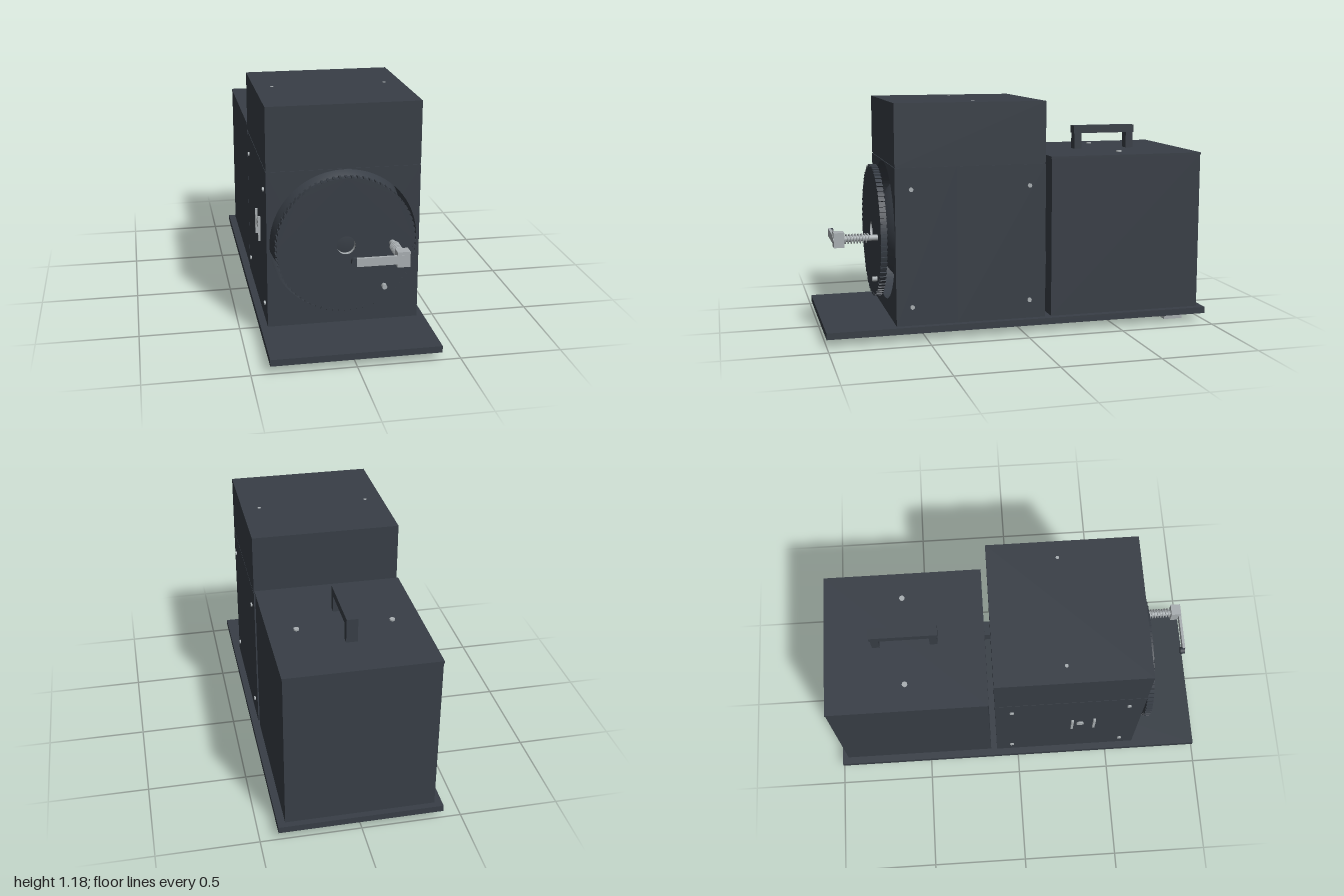
import * as THREE from 'three';

export function createModel() {
  const model = new THREE.Group();
  const dark = new THREE.MeshStandardMaterial({ color: 0x383e46 });
  dark.name = 'charcoal paint';
  const metal = new THREE.MeshStandardMaterial({ color: 0xa9afb2 });
  metal.name = 'light metal';
  const metalInside = new THREE.MeshStandardMaterial({ color: 0xa9afb2, side: THREE.BackSide });
  metalInside.name = 'light metal bore';

  const add = (name, geo, mat, x = 0, y = 0, z = 0, parent = model) => {
    const m = new THREE.Mesh(geo, mat);
    m.name = name;
    m.position.set(x, y, z);
    parent.add(m);
    return m;
  };
  // box given by its limits on each axis
  const block = (name, mat, x0, x1, y0, y1, z0, z1) =>
    add(name, new THREE.BoxGeometry(x1 - x0, y1 - y0, z1 - z0), mat,
      (x0 + x1) / 2, (y0 + y1) / 2, (z0 + z1) / 2);
  // cylinder along an axis, centred on the given point
  const rod = (name, mat, axis, r, len, x, y, z, sides = 24) => {
    const g = new THREE.CylinderGeometry(r, r, len, sides);
    if (axis === 'z') g.rotateX(Math.PI / 2);
    if (axis === 'x') g.rotateZ(Math.PI / 2);
    return add(name, g, mat, x, y, z);
  };
  const circlePath = (r, x = 0, y = 0) => new THREE.Path().absarc(x, y, r, 0, Math.PI * 2, true);

  const W = 0.375, CY = 0.498;

  // base plate and feet
  block('basePlate', dark, -0.41, 0.41, 0.038, 0.071, -1, 1);
  for (const s of [-1, 1]) block('rearFoot', metal, s * 0.305 - 0.034, s * 0.305 + 0.034, 0, 0.038, -0.9, -0.8);
  rod('frontFoot', metal, 'y', 0.017, 0.038, 0, 0.019, 0.885);

  // front housing: solid back, round opening in the front part
  block('frontHousingBack', dark, -W, W, 0.071, 0.862, -0.12, 0.34);
  const face = new THREE.Shape();
  face.moveTo(-W, 0.071).lineTo(W, 0.071).lineTo(W, 0.862).lineTo(-W, 0.862).closePath();
  face.holes.push(circlePath(0.361, 0, CY));
  add('frontHousingFace', new THREE.ExtrudeGeometry(face, { depth: 0.31, bevelEnabled: false, curveSegments: 48 }),
    dark, 0, 0, 0.34);
  block('housingSeam', dark, -W + 0.004, W - 0.004, 0.862, 0.867, -0.116, 0.646);
  block('upperHousing', dark, -W, W, 0.867, 1.177, -0.12, 0.65);

  // domed reflector filling the opening
  const dome = new THREE.SphereGeometry(0.357, 48, 16, 0, Math.PI * 2, 0, Math.PI / 2);
  dome.rotateX(Math.PI / 2);
  add('dome', dome, dark, 0, CY, 0.338);

  // toothed dial with a bored hub
  const dial = new THREE.Group();
  dial.name = 'dial';
  dial.position.set(0, CY, 0);
  model.add(dial);
  const disc = new THREE.Shape().absarc(0, 0, 0.337, 0, Math.PI * 2, false);
  disc.holes.push(circlePath(0.046));
  add('dialDisc', new THREE.ExtrudeGeometry(disc, { depth: 0.031, bevelEnabled: false, curveSegments: 64 }),
    dark, 0, 0, 0.685, dial);
  const bore = new THREE.CylinderGeometry(0.0455, 0.0455, 0.03, 32, 1, true);
  bore.rotateX(Math.PI / 2);
  add('hubBore', bore, metalInside, 0, 0, 0.7, dial);
  const tooth = new THREE.BoxGeometry(0.012, 0.015, 0.033);
  for (let i = 0; i < 72; i++) {
    const a = i / 72 * Math.PI * 2;
    add('dialTooth', tooth, dark, Math.cos(a) * 0.336, Math.sin(a) * 0.336, 0.7, dial).rotation.z = a - Math.PI / 2;
  }
  rod('dialPin', metal, 'z', 0.013, 0.03, 0.187, 0.278, 0.726, 8);

  // crank: shaft with spring, block, flat arm and end pin
  rod('crankShaft', metal, 'z', 0.015, 0.19, 0.225, CY, 0.795);
  const turns = 8, pts = [];
  for (let i = 0; i <= turns * 12; i++) {
    const a = i / 12 * Math.PI * 2;
    pts.push(new THREE.Vector3(Math.cos(a) * 0.022, Math.sin(a) * 0.022, 0.12 * i / (turns * 12)));
  }
  add('crankSpring', new THREE.TubeGeometry(new THREE.CatmullRomCurve3(pts), 160, 0.004, 6), metal, 0.225, CY, 0.762);
  block('crankBlock', metal, 0.197, 0.258, 0.46, 0.535, 0.885, 0.938);
  const arm = new THREE.Shape();
  arm.moveTo(0.005, 0.477).lineTo(0.23, 0.477).lineTo(0.247, 0.497).lineTo(0.23, 0.518).lineTo(0.005, 0.518).closePath();
  add('crankArm', new THREE.ExtrudeGeometry(arm, { depth: 0.014, bevelEnabled: false }), metal, 0, 0, 0.926);
  rod('crankEndPin', dark, 'z', 0.019, 0.024, 0, CY, 0.925);

  // rear housing with lid, handle and link to the front housing
  block('rearHousing', dark, -W + 0.003, W - 0.003, 0.071, 0.885, -0.967, -0.153);
  block('rearLid', dark, -W, W, 0.885, 0.896, -0.97, -0.15);
  block('housingLink', dark, 0.2, 0.28, 0.325, 0.39, -0.155, -0.118);
  block('handleBar', dark, -0.028, 0.028, 0.98, 1.02, -0.73, -0.385);
  block('handlePost', dark, -0.028, 0.028, 0.896, 0.98, -0.43, -0.39);
  block('handlePost', dark, -0.028, 0.028, 0.896, 0.98, -0.725, -0.685);

  // screws on the lids and the sides
  for (const s of [-1, 1]) {
    rod('lidScrew', metal, 'y', 0.014, 0.01, s * 0.235, 0.899, -0.565, 12);
    rod('topScrew', metal, 'y', 0.009, 0.004, s * 0.285, 1.176, 0.235, 12);
    for (const y of [0.165, 0.755]) for (const z of [-0.035, 0.57])
      rod('sideScrew', metal, 'x', 0.011, 0.014, s * 0.376, y, z, 12);
  }

  // switch with two guard plates on the right side
  for (const z of [0.288, 0.405]) block('switchGuard', metal, -0.387, -W, 0.43, 0.56, z - 0.006, z + 0.006);
  rod('switchKnob', metal, 'x', 0.02, 0.01, -0.378, 0.5, 0.33, 16);

  return model;
}
